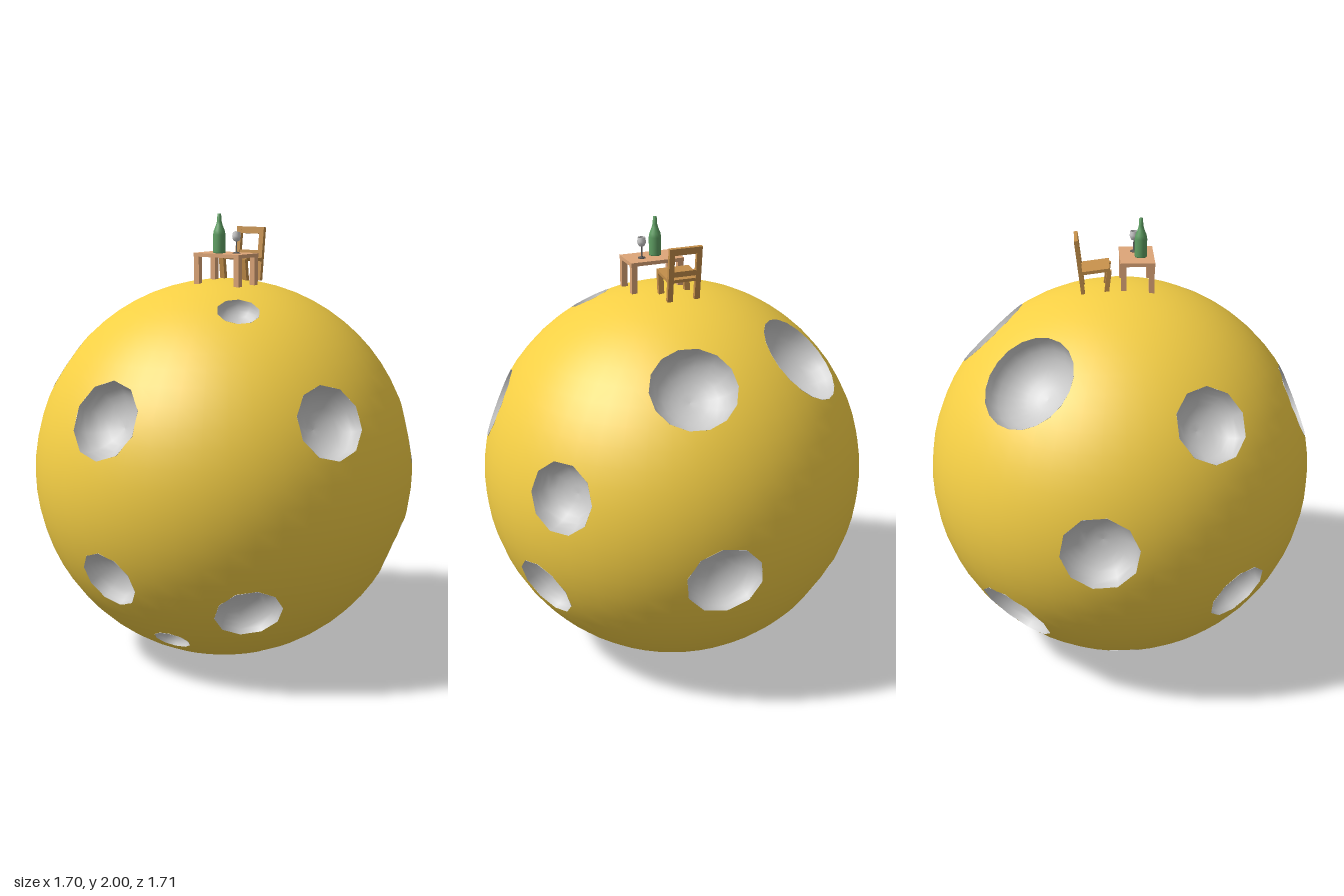
import * as THREE from 'three';

const R = 0.853, CY = 0.856, SIDES = 10;
const V = (x, y, z) => new THREE.Vector3(x, y, z);

// craters: direction from the globe's centre, then rim radius
const CRATERS = [
  [-0.04, 0.32, 0.76, 0.172], [-0.6, 0.46, 0.35, 0.165], [0.28, 0.75, 0.28, 0.092],
  [0.72, 0.32, 0.26, 0.162], [-0.6, -0.325, 0.48, 0.145], [-0.04, -0.355, 0.76, 0.138],
  [0.485, -0.47, 0.49, 0.145], [0.105, -0.66, 0.52, 0.08], [0.68, 0.16, -0.46, 0.156],
  [0.71, -0.325, -0.3, 0.147], [0.1, -0.165, -0.815, 0.168], [0.14, 0.6, -0.57, 0.185, 14],
  [-0.43, 0.585, -0.39, 0.213, 20], [0.33, -0.775, 0.09, 0.06], [-0.828, 0, -0.11, 0.168],
  [-0.498, -0.47, -0.469, 0.178], [-0.06, -0.76, -0.37, 0.1], [-0.47, -0.7, 0, 0.07],
].map(([x, y, z, r, sides = SIDES]) => {
  const n = V(x, y, z).normalize(), h = Math.sqrt(R * R - r * r);
  const q = new THREE.Quaternion().setFromUnitVectors(V(0, 1, 0), n);
  const rim = Array.from({ length: sides }, (_, i) => {
    const a = (i / sides) * Math.PI * 2;
    return V(r * Math.sin(a), h, r * Math.cos(a)).applyQuaternion(q);
  });
  const planes = rim.map((v, i) => v.clone().cross(rim[(i + 1) % sides]).normalize());
  return { n, h, r, q, planes, sides };
});

// splits a convex polygon by a plane through the globe's centre
function split(poly, m) {
  const inside = [], outside = [];
  poly.forEach((p, i) => {
    const next = poly[(i + 1) % poly.length], a = m.dot(p), b = m.dot(next);
    (a >= 0 ? inside : outside).push(p);
    if ((a >= 0) !== (b >= 0)) {
      const cut = p.clone().lerp(next, a / (a - b));
      inside.push(cut);
      outside.push(cut);
    }
  });
  return [inside, outside];
}

// removes a crater's opening from a polygon
function subtract(poly, { n, h, planes }) {
  if (poly.every((p) => p.dot(n) < h - 0.15)) return [poly];
  const pieces = [];
  let rest = poly;
  for (const m of planes) {
    const [inside, outside] = split(rest, m);
    if (inside.length < 3) return [poly];
    if (outside.length > 2) pieces.push(outside);
    rest = inside;
  }
  return pieces;
}

// sphere with the crater openings cut out
function globeGeometry() {
  const src = new THREE.SphereGeometry(R, 48, 32).toNonIndexed().attributes.position;
  const pos = [], nor = [];
  for (let i = 0; i < src.count; i += 3) {
    let polys = [[0, 1, 2].map((k) => V().fromBufferAttribute(src, i + k))];
    for (const c of CRATERS) polys = polys.flatMap((p) => subtract(p, c));
    for (const p of polys)
      for (let k = 1; k < p.length - 1; k++)
        for (const v of [p[0], p[k], p[k + 1]]) {
          pos.push(v.x, v.y, v.z);
          nor.push(...v.clone().normalize().toArray());
        }
  }
  const g = new THREE.BufferGeometry();
  g.setAttribute('position', new THREE.Float32BufferAttribute(pos, 3));
  g.setAttribute('normal', new THREE.Float32BufferAttribute(nor, 3));
  return g;
}

export function createModel() {
  const model = new THREE.Group();
  const mat = (color, side = THREE.FrontSide) => new THREE.MeshStandardMaterial({ color, side });
  const yellow = mat(0xf5cf45), grey = mat(0xcccccc, THREE.DoubleSide), peach = mat(0xdea678);
  const wood = mat(0xc48f4a), green = mat(0x5f9f63, THREE.DoubleSide), dark = mat(0x555555);

  const group = (name) => {
    const g = new THREE.Group();
    g.name = name;
    model.add(g);
    return g;
  };
  const add = (parent, name, geometry, material, x = 0, y = 0, z = 0) => {
    const m = new THREE.Mesh(geometry, material);
    m.name = name;
    m.position.set(x, y, z);
    parent.add(m);
    return m;
  };
  const box = (parent, name, w, h, d, material, x, y, z) =>
    add(parent, name, new THREE.BoxGeometry(w, h, d), material, x, y, z);
  const lathe = (pts, n) => new THREE.LatheGeometry(pts.map(([x, y]) => new THREE.Vector2(x, y)), n);

  // globe and crater bowls
  const globe = group('globe');
  globe.position.y = CY;
  add(globe, 'globeSurface', globeGeometry(), yellow);
  for (const { n, h, r, q, sides } of CRATERS) {
    const profile = Array.from({ length: 8 }, (_, i) => {
      const a = (i / 7) * Math.PI / 2;
      return [r * Math.sin(a), -0.75 * r * Math.cos(a)];
    });
    const bowl = add(globe, 'craterBowl', lathe(profile, sides), grey);
    bowl.position.copy(n).multiplyScalar(h);
    bowl.quaternion.copy(q);
  }

  // table
  const table = group('table');
  table.position.set(0.065, 0, 0.075);
  box(table, 'tableTop', 0.244, 0.016, 0.148, peach, 0, 1.822, 0);
  for (const x of [-1, 1])
    for (const z of [-1, 1])
      box(table, 'tableLeg', 0.026, 0.126, 0.024, peach, x * 0.107, 1.755, z * 0.06);

  // bottle
  add(group('bottle'), 'bottleBody', lathe([[0, 0], [0.026, 0], [0.027, 0.004], [0.027, 0.08],
    [0.024, 0.097], [0.014, 0.122], [0.01, 0.138], [0.008, 0.17], [0, 0.17]], 20), green, 0.042, 1.83, 0.092);

  // wine glass
  const glass = group('wineGlass');
  glass.position.set(0.115, 1.83, 0.065);
  add(glass, 'glassStem', lathe([[0, 0], [0.017, 0], [0.016, 0.003], [0.003, 0.007], [0.003, 0.05],
    [0, 0.05]], 16), dark);
  add(glass, 'glassCup', lathe([[0.002, 0.05], [0.012, 0.054], [0.018, 0.065], [0.019, 0.075],
    [0.016, 0.092]], 16), grey);

  // chair, with slanted back posts
  const chair = group('chair');
  chair.position.x = 0.016;
  const seat = box(chair, 'seat', 0.148, 0.014, 0.135, wood, 0, 1.794, -0.112);
  seat.rotation.x = -0.13;
  for (const s of [-1, 1]) {
    const leg = box(chair, 'frontLeg', 0.024, 0.1, 0.02, wood, s * 0.06, 1.748, -0.053);
    leg.rotation.x = 0.12;
  }
  const back = new THREE.Group();
  back.name = 'chairBack';
  back.position.set(0, 1.695, -0.16);
  back.rotation.x = -0.12;
  chair.add(back);
  for (const s of [-1, 1]) box(back, 'backPost', 0.024, 0.238, 0.017, wood, s * 0.062, 0.119, 0);
  box(back, 'topRail', 0.148, 0.03, 0.016, wood, 0, 0.223, 0);
  box(back, 'lowerRail', 0.12, 0.024, 0.014, wood, 0, 0.122, 0);

  return model;
}
